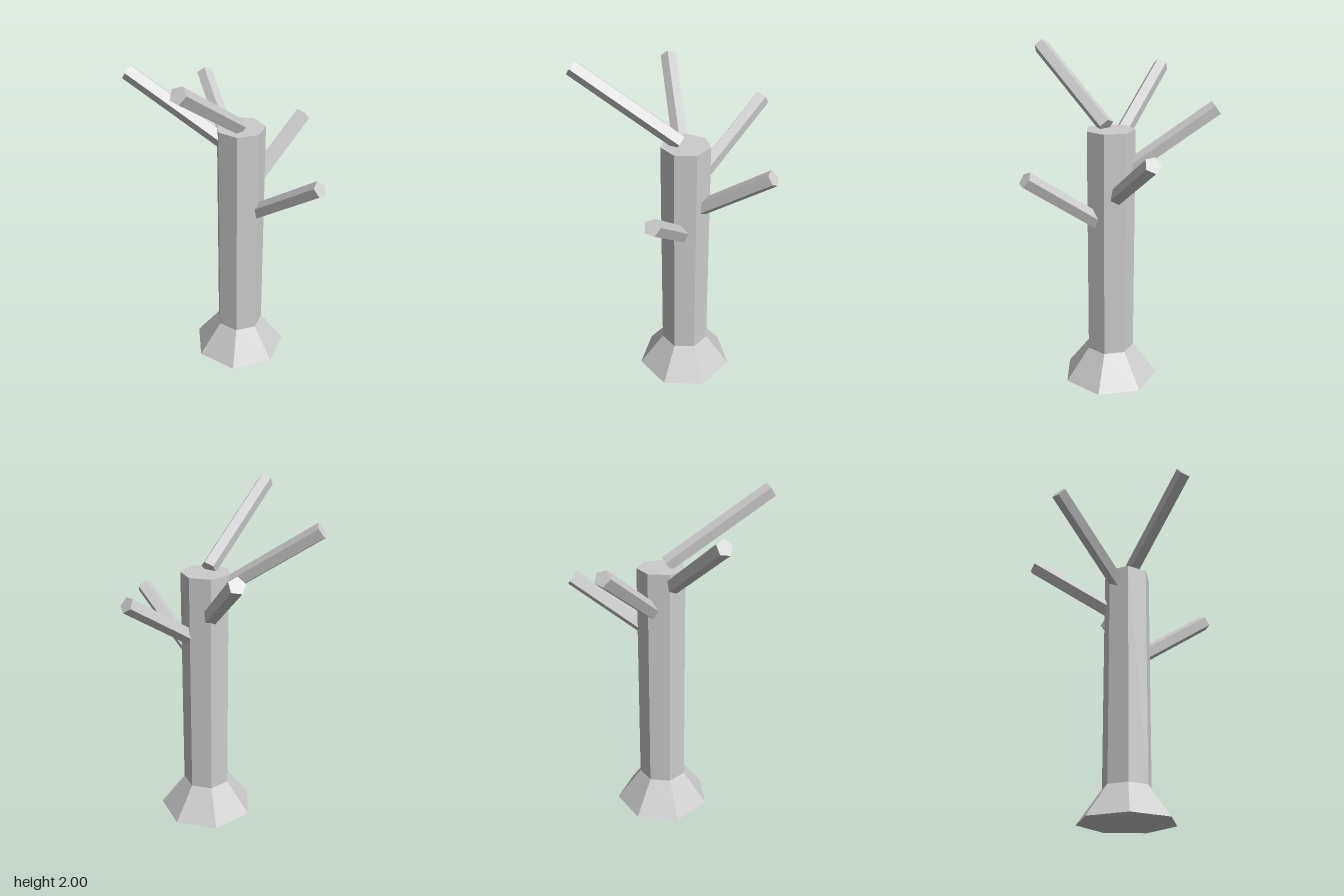
import * as THREE from 'three';

const material = new THREE.MeshStandardMaterial({ color: 0xcccccc, flatShading: true });
const CENTER_X = 0.025, CENTER_Z = -0.056;

// Five-sided limb from start to tip; roll turns its ridge away from straight up.
function makeBranch(start, tip, roll) {
  const a = new THREE.Vector3(...start), b = new THREE.Vector3(...tip);
  const dir = b.clone().sub(a), length = dir.length();
  dir.normalize();
  const right = dir.clone().cross(new THREE.Vector3(0, 1, 0)).normalize();
  const up = right.clone().cross(dir);
  const geometry = new THREE.CylinderGeometry(0.048, 0.048, length, 5, 1, false, -THREE.MathUtils.degToRad(roll));
  const branch = new THREE.Mesh(geometry, material);
  branch.quaternion.setFromRotationMatrix(new THREE.Matrix4().makeBasis(right, dir, up));
  branch.position.copy(a).add(b).multiplyScalar(0.5);
  return branch;
}

export function createModel() {
  const tree = new THREE.Group();
  tree.name = 'bareTree';

  // Seven-sided trunk with a flared foot
  const profile = [[0, 0], [0.289, 0], [0.143, 0.195], [0.143, 1.55], [0, 1.55]]
    .map(([r, y]) => new THREE.Vector2(r, y));
  const trunk = new THREE.Mesh(new THREE.LatheGeometry(profile, 7, Math.PI), material);
  trunk.name = 'trunk';
  trunk.position.set(CENTER_X, 0, CENTER_Z);
  tree.add(trunk);

  // Branches: start, tip, roll in degrees
  const branches = {
    frontBranch: [[0.03, 1.565, -0.025], [0.075, 1.962, 0.563], 12],
    leftBranch: [[0.04, 0.965, -0.068], [0.565, 1.34, -0.01], 8],
    rightBranch: [[0, 1.415, -0.037], [-0.565, 1.833, 0.193], 11],
    backRightBranch: [[0, 1.265, -0.075], [-0.465, 1.665, -0.398], 12],
    backBranch: [[0.042, 1.13, -0.085], [0.143, 1.47, -0.562], 31],
  };
  for (const [name, [start, tip, roll]] of Object.entries(branches)) {
    const branch = makeBranch(start, tip, roll);
    branch.name = name;
    tree.add(branch);
  }
  return tree;
}
